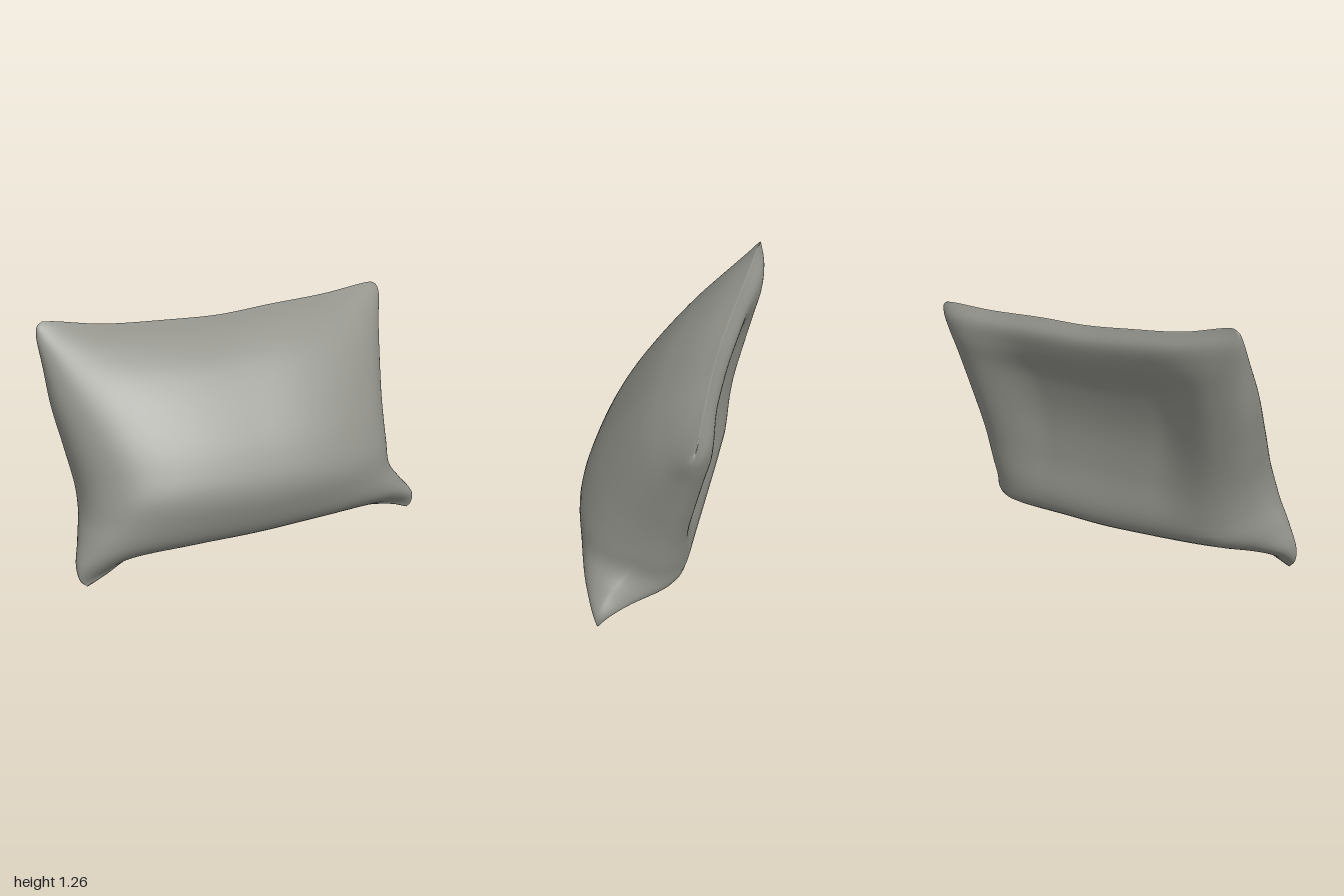
import * as THREE from 'three';
import { mergeVertices } from 'three/addons/utils/BufferGeometryUtils.js';

const curve = (pts) => {
  const c = new THREE.CatmullRomCurve3(pts.map((p) => new THREE.Vector3(...p)), false, 'centripetal');
  c.arcLengthDivisions = 400;
  return c;
};
const profile = (pts) => curve(pts.map(([z, y]) => [0, y, z]));

// Seam running round the cushion
const bottomSeam = curve([[-0.955, 0, 0.165], [-0.85, 0.045, 0.16], [-0.7, 0.105, 0.14], [-0.35, 0.115, 0.11],
  [0, 0.112, 0.1], [0.35, 0.117, 0.11], [0.7, 0.12, 0.13], [0.85, 0.1, 0.14], [0.955, 0.06, 0.13]]);
const topSeam = curve([[-0.96, 1.26, -0.355], [-0.9, 1.255, -0.35], [-0.65, 1.215, -0.33], [-0.3, 1.197, -0.31],
  [0, 1.19, -0.3], [0.3, 1.207, -0.31], [0.65, 1.22, -0.33], [0.9, 1.243, -0.35], [0.96, 1.245, -0.355]]);
const sideNegative = curve([[-0.955, 0, 0.165], [-0.99, 0.035, 0.16], [-1, 0.11, 0.14], [-0.96, 0.23, 0.08],
  [-0.92, 0.33, 0], [-0.91, 0.45, -0.07], [-0.94, 0.65, -0.15], [-0.975, 0.85, -0.22],
  [-0.99, 1.05, -0.285], [-1, 1.19, -0.335], [-0.99, 1.24, -0.35], [-0.96, 1.26, -0.355]]);
const sidePositive = curve([[0.955, 0.06, 0.13], [0.98, 0.08, 0.13], [0.985, 0.15, 0.12], [0.91, 0.25, 0.07],
  [0.845, 0.34, 0], [0.85, 0.45, -0.07], [0.87, 0.62, -0.14], [0.91, 0.82, -0.21],
  [0.955, 1.02, -0.275], [1, 1.19, -0.335], [0.99, 1.23, -0.35], [0.96, 1.245, -0.355]]);

// Cross-sections as [z, y]: full front, dented middle of the back, and raised rim of the back
const frontProfile = profile([[0.1, 0.112], [0.2, 0.13], [0.295, 0.19], [0.355, 0.31], [0.38, 0.44], [0.325, 0.6],
  [0.2, 0.8], [0.03, 1], [-0.1, 1.1], [-0.2, 1.155], [-0.3, 1.19]]);
const backMiddle = profile([[0.1, 0.112], [0, 0.113], [-0.18, 0.12], [-0.23, 0.15], [-0.245, 0.22], [-0.215, 0.42],
  [-0.21, 0.65], [-0.255, 0.86], [-0.325, 1.01], [-0.345, 1.11], [-0.3, 1.19]]);
const backRim = profile([[0.1, 0.112], [0, 0.113], [-0.2, 0.12], [-0.245, 0.15], [-0.255, 0.22], [-0.27, 0.45],
  [-0.315, 0.7], [-0.35, 0.88], [-0.375, 1.02], [-0.365, 1.12], [-0.3, 1.19]]);

// Smooth patch spanned between the four seams; the bottom tips fade out quickly upwards
function seamPatch(s, v) {
  const h = Math.sqrt(v);
  const b = bottomSeam.getPointAt(s), t = topSeam.getPointAt(s);
  const l = sideNegative.getPointAt(v), r = sidePositive.getPointAt(v);
  const bilinear = bottomSeam.getPoint(0).lerp(bottomSeam.getPoint(1), s)
    .lerp(topSeam.getPoint(0).lerp(topSeam.getPoint(1), s), h);
  return b.lerp(t, h).add(l.lerp(r, s)).sub(bilinear);
}

const COLS = 80, ROWS = 60;

// Adds one half of the cover, pushed out from the seam patch
function addSheet(positions, indices, isBack) {
  const start = positions.length / 3;
  for (let j = 0; j <= ROWS; j++) {
    const t = j / ROWS;
    const v = t - 0.1 * Math.sin(2 * Math.PI * t);
    const mid = seamPatch(0.5, v);
    const puff = (section) => section.getPointAt(v).sub(mid).setX(0);
    const centre = puff(isBack ? backMiddle : frontProfile);
    const rim = isBack ? puff(backRim) : centre;
    for (let i = 0; i <= COLS; i++) {
      const u = Math.sin((i / COLS - 0.5) * Math.PI), a = Math.abs(u);
      const p = seamPatch((u + 1) / 2, v);
      if (j > 0 && j < ROWS && i > 0 && i < COLS) {
        const w = isBack ? (1 - a ** 7) ** 0.5 : (1 - a ** 2.5) ** 0.37;
        p.addScaledVector(centre.clone().lerp(rim, THREE.MathUtils.smoothstep(a, 0.4, 0.86)), w);
      }
      positions.push(p.x, p.y, p.z);
    }
  }
  for (let j = 0; j < ROWS; j++) {
    for (let i = 0; i < COLS; i++) {
      const a = start + j * (COLS + 1) + i, b = a + 1, d = a + COLS + 1, c = d + 1;
      if (isBack) indices.push(a, c, b, a, d, c);
      else indices.push(a, b, c, a, c, d);
    }
  }
}

export function createModel() {
  const fabric = new THREE.MeshStandardMaterial({ color: 0x92928b });
  fabric.name = 'grey fabric';

  const positions = [], indices = [];
  addSheet(positions, indices, false);
  addSheet(positions, indices, true);
  let geometry = new THREE.BufferGeometry();
  geometry.setAttribute('position', new THREE.Float32BufferAttribute(positions, 3));
  geometry.setIndex(indices);
  geometry = mergeVertices(geometry, 1e-5);
  geometry.computeVertexNormals();

  const cushion = new THREE.Mesh(geometry, fabric);
  cushion.name = 'cushion';
  const group = new THREE.Group();
  group.name = 'pillow';
  group.add(cushion);
  return group;
}
